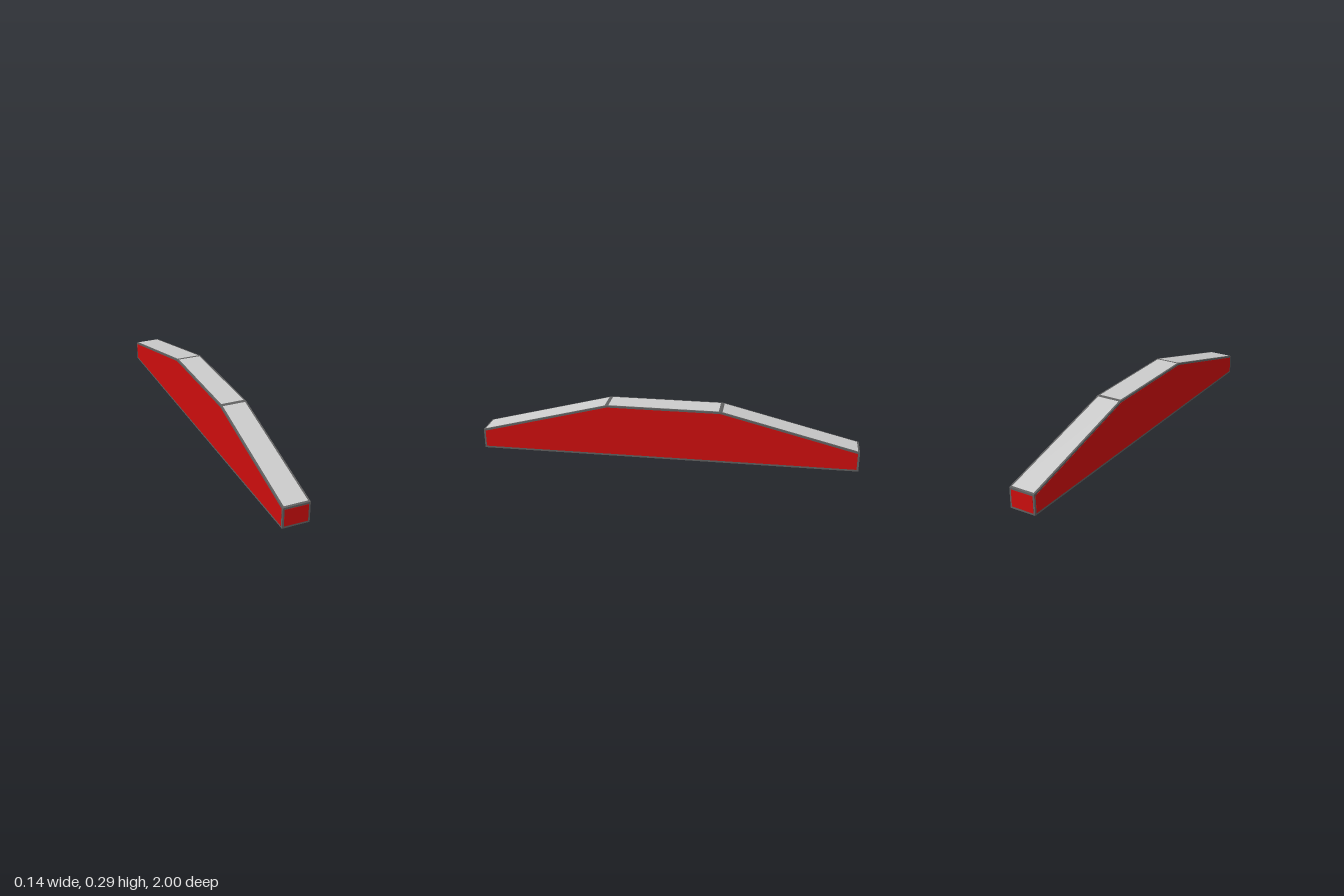
import * as THREE from 'three';

const HALF_W = 0.07, RIM = 0.01, PROUD = 0.001;

// Side outline as [z, y], from the front bottom corner over the hump to the back
const OUTLINE = [[1, 0], [1, 0.107], [0.317, 0.285], [-0.283, 0.285], [-1, 0.107], [-1, 0]];
const INNER = [[0.99, 0.01], [0.99, 0.099], [0.316, 0.275], [-0.282, 0.275], [-0.99, 0.099], [-0.99, 0.01]];

const paint = (color) => new THREE.MeshStandardMaterial({ color, flatShading: true });

// Slab with the given side outline, centred across x
function slab(points, width) {
  const shape = new THREE.Shape(points.map(([z, y]) => new THREE.Vector2(z, y)));
  const geometry = new THREE.ExtrudeGeometry(shape, { depth: width, bevelEnabled: false });
  geometry.translate(0, 0, -width / 2);
  geometry.rotateY(-Math.PI / 2);
  return geometry;
}

export function createModel() {
  const group = new THREE.Group();
  const dark = paint(0x606060), red = paint(0xcc0d0d), grey = paint(0xcccccc);

  const add = (name, geometry, material) => {
    const mesh = new THREE.Mesh(geometry, material);
    mesh.name = name;
    group.add(mesh);
    return mesh;
  };

  // Dark body whose margins show as a frame around every panel
  add('frame', slab(OUTLINE, 2 * HALF_W - 2 * PROUD), dark);

  // Red side panels
  for (const [name, side] of [['leftPanel', 1], ['rightPanel', -1]]) {
    add(name, slab(INNER, 2 * PROUD), red).position.x = side * (HALF_W - PROUD);
  }

  // Red end panels and grey top panels, one on each upper edge of the outline
  const names = ['frontPanel', 'frontSlope', 'topPanel', 'backSlope', 'backPanel'];
  names.forEach((name, i) => {
    const [z0, y0] = OUTLINE[i], [z1, y1] = OUTLINE[i + 1];
    const length = Math.hypot(z1 - z0, y1 - y0) - 2 * RIM;
    const panel = add(name, new THREE.BoxGeometry(2 * (HALF_W - RIM), 2 * PROUD, length),
      i === 0 || i === 4 ? red : grey);
    panel.position.set(0, (y0 + y1) / 2, (z0 + z1) / 2);
    panel.rotation.x = Math.atan2(y1 - y0, z0 - z1);
  });

  return group;
}
